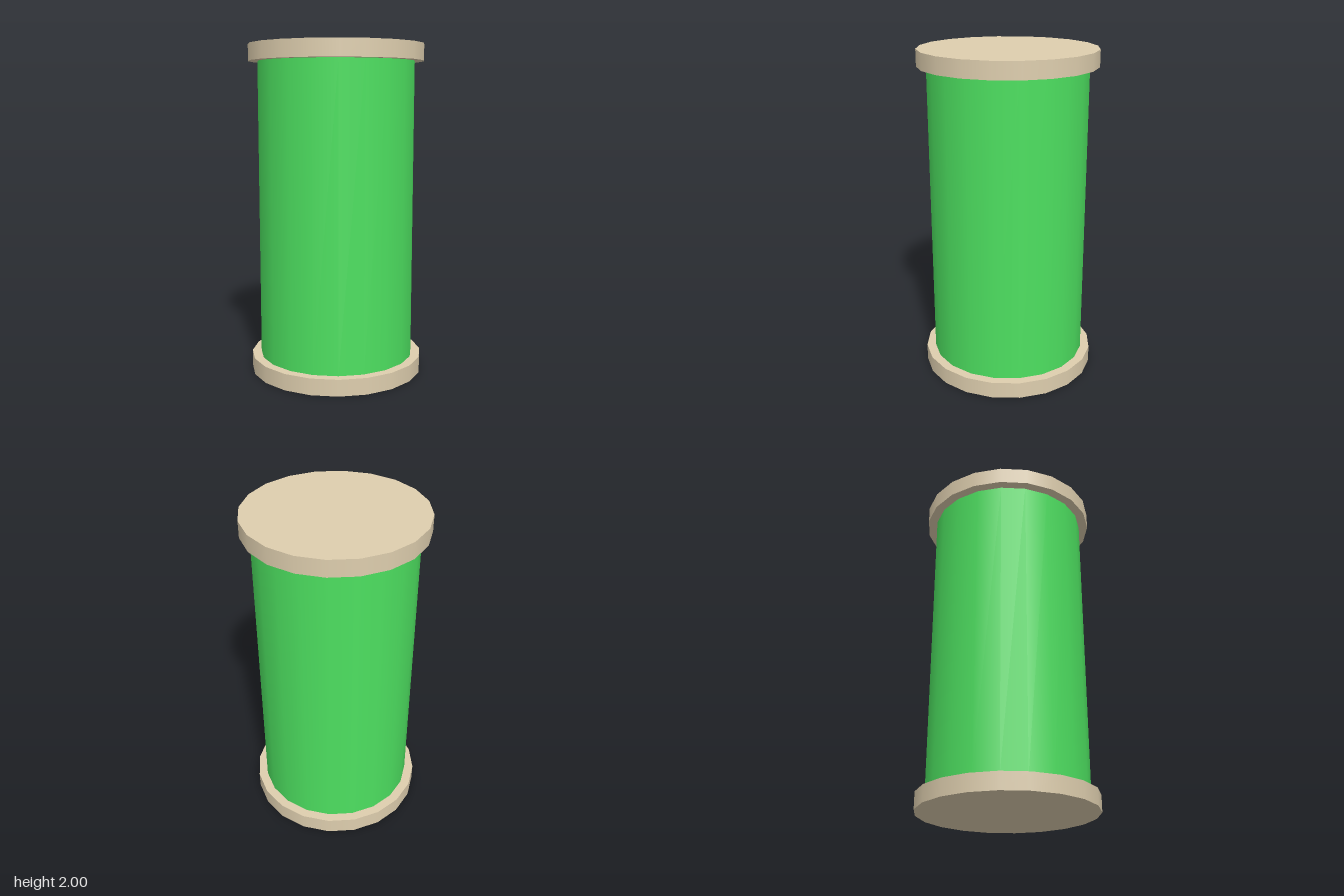
import * as THREE from 'three';

const SIDES = 20;
const HEIGHT = 2;
const CAP_HEIGHT = 0.1;
const CAP_RADIUS = 0.53;
const BODY_RADIUS = 0.474;

export function createModel() {
  const group = new THREE.Group();
  group.name = 'canister';

  const green = new THREE.MeshStandardMaterial({ color: 0x4de060 });
  const tan = new THREE.MeshStandardMaterial({ color: 0xdeceae });

  function addCylinder(name, radius, height, y, material) {
    const mesh = new THREE.Mesh(new THREE.CylinderGeometry(radius, radius, height, SIDES), material);
    mesh.name = name;
    mesh.position.y = y;
    group.add(mesh);
  }

  // Tube between the two caps
  addCylinder('body', BODY_RADIUS, HEIGHT - 2 * CAP_HEIGHT, HEIGHT / 2, green);

  // Overhanging end caps
  addCylinder('bottomCap', CAP_RADIUS, CAP_HEIGHT, CAP_HEIGHT / 2, tan);
  addCylinder('topCap', CAP_RADIUS, CAP_HEIGHT, HEIGHT - CAP_HEIGHT / 2, tan);

  return group;
}
